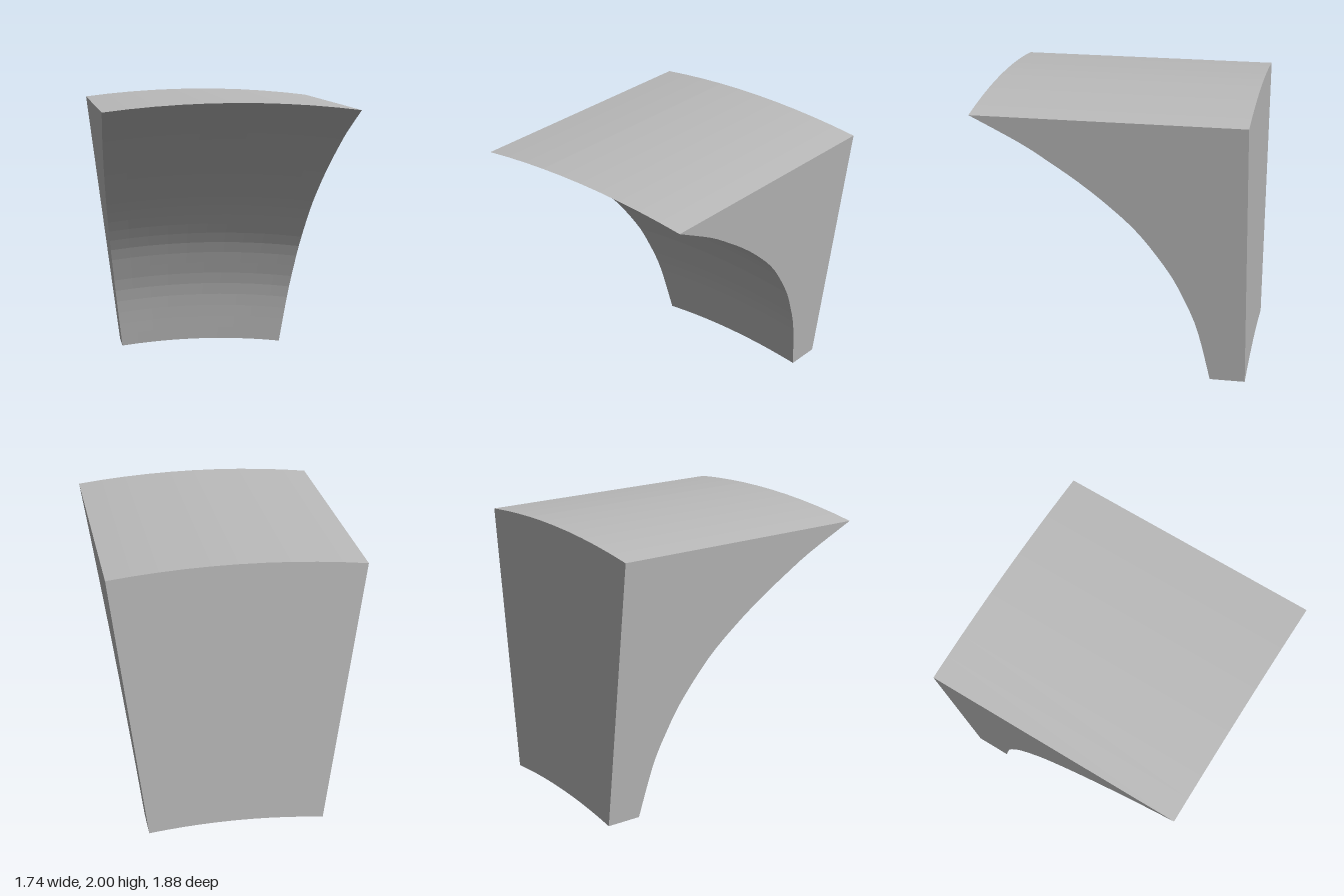
import * as THREE from 'three';

const OUTER = 6.92;              // radius of the top face
const CENTRE_Y = 2 - OUTER;      // height of the axis the wedge is swept around
const HALF_ANGLE = 0.1264;
const BACK = -0.94;

// Side edge of the concave front face, as [z, y] from the top lip to the foot
const EDGE = [
  [0.94, 1.945], [0.6, 1.763], [0.4, 1.632], [0.2, 1.49], [0, 1.325], [-0.2, 1.128],
  [-0.4, 0.85], [-0.5, 0.655], [-0.6, 0.4], [-0.69, 0],
];

export function createModel() {
  const stone = new THREE.MeshStandardMaterial({ color: 0xbbbbbb, flatShading: true });
  stone.name = 'grey stone';

  // Profile in (z, radius): flat top, straight back, flat foot and curved front
  const radius = (y) => (y - CENTRE_Y) / Math.cos(HALF_ANGLE);
  const curve = new THREE.SplineCurve(EDGE.map(([z, y]) => new THREE.Vector2(z, radius(y))));
  const front = curve.getSpacedPoints(28);
  const profile = new THREE.Shape([
    ...front,
    new THREE.Vector2(BACK, radius(0)),
    new THREE.Vector2(BACK, front[0].y),
  ]);

  // Extrude the profile, then bend the extrusion into an arc around the z axis
  const geometry = new THREE.ExtrudeGeometry(profile, {
    depth: 2 * HALF_ANGLE, steps: 10, bevelEnabled: false,
  });
  const p = geometry.attributes.position;
  for (let i = 0; i < p.count; i++) {
    const z = p.getX(i), r = p.getY(i), angle = HALF_ANGLE - p.getZ(i);
    p.setXYZ(i, r * Math.sin(angle), CENTRE_Y + r * Math.cos(angle), z);
  }
  geometry.computeVertexNormals();

  const block = new THREE.Mesh(geometry, stone);
  block.name = 'curvedCorbelBlock';

  const model = new THREE.Group();
  model.name = 'corbelSegment';
  model.add(block);
  return model;
}
